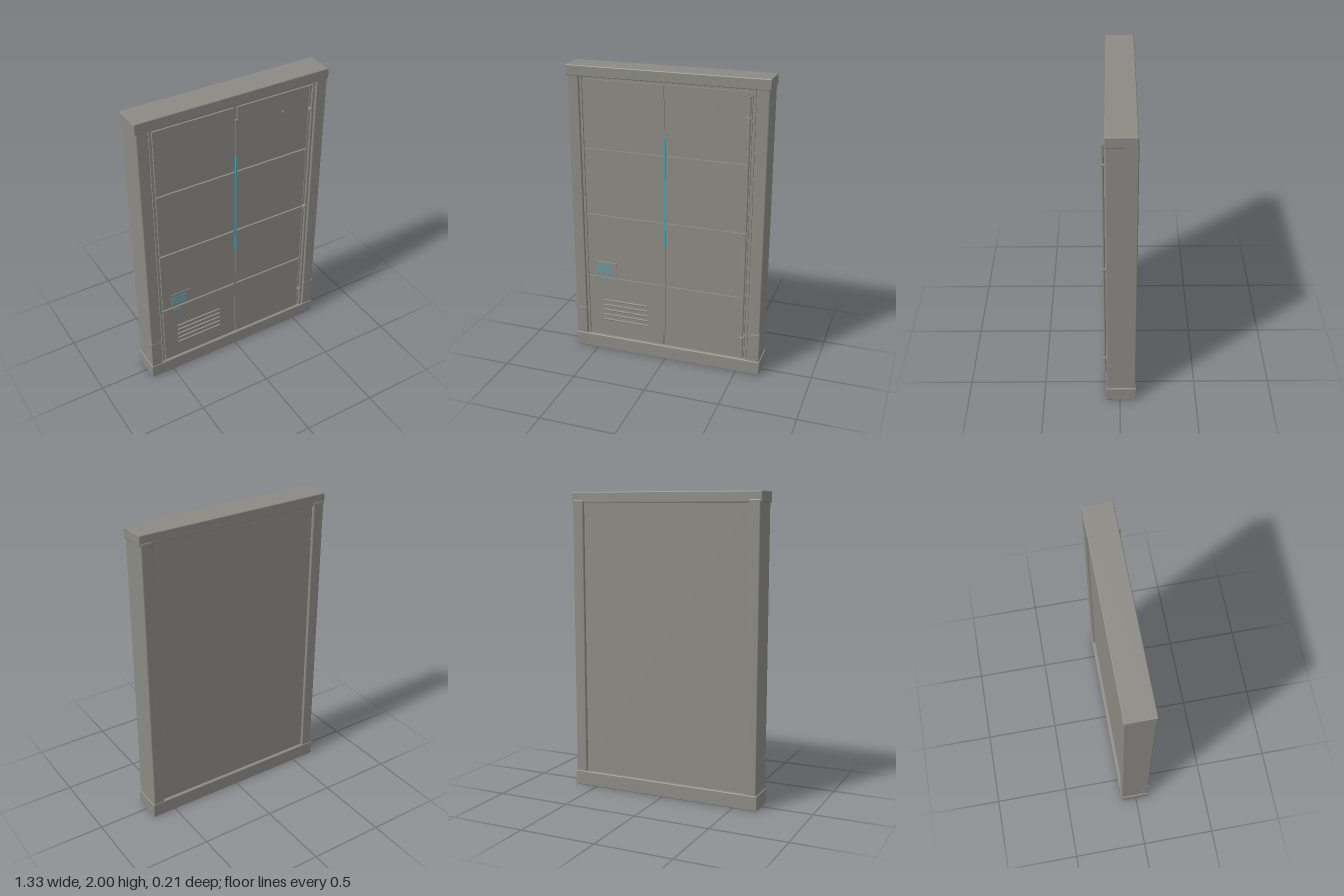
import * as THREE from 'three';
import { RoundedBoxGeometry } from 'three/addons/geometries/RoundedBoxGeometry.js';

export function createModel() {
  const model = new THREE.Group();
  model.name = 'wallPanel';

  const metal = new THREE.MeshStandardMaterial({ color: 0x8b8a84 });
  metal.name = 'grey metal';
  const glow = new THREE.MeshStandardMaterial({ color: 0x22b0c8 });
  glow.name = 'cyan light';

  // Box given by its limits on each axis; a bevel rounds the edges
  function box(name, [x0, x1], [y0, y1], [z0, z1], bevel = 0, material = metal) {
    const w = x1 - x0, h = y1 - y0, d = z1 - z0;
    const geometry = bevel ? new RoundedBoxGeometry(w, h, d, 2, bevel) : new THREE.BoxGeometry(w, h, d);
    const mesh = new THREE.Mesh(geometry, material);
    mesh.name = name;
    mesh.position.set((x0 + x1) / 2, (y0 + y1) / 2, (z0 + z1) / 2);
    model.add(mesh);
    return mesh;
  }

  function rod(name, radius, length, x, y, z, alongZ = false) {
    const mesh = new THREE.Mesh(new THREE.CylinderGeometry(radius, radius, length, 16), metal);
    mesh.name = name;
    mesh.position.set(x, y, z);
    if (alongZ) mesh.rotation.x = Math.PI / 2;
    model.add(mesh);
  }

  // Frame and core slab
  box('topBeam', [-0.663, 0.663], [1.93, 2], [-0.1, 0.086], 0.006);
  box('bottomBeam', [-0.663, 0.663], [0, 0.1], [-0.107, 0.09], 0.006);
  box('core', [-0.6, 0.6], [0.08, 1.95], [-0.085, 0.068]);

  for (const s of [-1, 1]) {
    const span = (a, b) => (s > 0 ? [a, b] : [-b, -a]);
    box('sidePost', span(0.578, 0.655), [0.08, 1.95], [-0.103, 0.084], 0.008);
    box('innerTrim', span(0.558, 0.572), [0.1, 1.93], [0.06, 0.078]);
    // Lower sleeve around each post with its two clips
    box('postSleeve', span(0.58, 0.656), [0.095, 0.3], [0.05, 0.0855], 0.004);
    for (const x of [0.582, 0.652]) {
      box('postClip', span(x - 0.005, x + 0.005), [0.293, 0.311], [0.075, 0.089]);
    }
  }

  // Eight face panels in four rows, divided by grooves
  const rows = [[0.11, 0.55], [0.566, 1.003], [1.021, 1.46], [1.476, 1.915]];
  rows.forEach(([y0, y1], i) => {
    for (const s of [-1, 1]) {
      // Outer rows are notched at the centre seam
      const low = i === 0 ? 0.19 : y0;
      const high = i === 3 ? 1.83 : y1;
      const right = 0.528;
      box('facePanel', s > 0 ? [0.012, right] : [-0.552, -0.012], [y0, y1], [0.06, 0.08]);
      box('seamEdge', s > 0 ? [0.0015, 0.012] : [-0.012, -0.0015], [low, high], [0.06, 0.08]);
    }
    if (i > 0) box('grooveBridge', [-0.009, 0.009], [rows[i - 1][1], y0], [0.06, 0.079]);
  });

  // Channel edge behind the conduit
  box('conduitBacking', [0.533, 0.552], [0.11, 1.915], [0.06, 0.078]);

  // Vertical conduit with clamps
  rod('conduit', 0.0085, 1.76, 0.54, 1.01, 0.098);
  for (const y of [0.27, 1.013, 1.757]) {
    box('conduitClamp', [0.525, 0.555], [y - 0.008, y + 0.008], [0.075, 0.107], 0.003);
  }

  // Light strip along the centre seam
  box('lightStrip', [-0.004, 0.004], [0.85, 1.58], [0.08, 0.088], 0, glow);

  // Control plate with lit slots and an indicator below
  box('controlPlate', [-0.49, -0.345], [0.572, 0.668], [0.078, 0.084], 0.002);
  for (const y of [0.64, 0.617, 0.594]) {
    box('lightSlot', [-0.483, -0.38], [y - 0.0025, y + 0.0025], [0.084, 0.087], 0, glow);
  }
  box('indicator', [-0.47, -0.42], [0.533, 0.537], [0.08, 0.084], 0, glow);

  // Vent slats on the lower left panel
  for (let i = 0; i < 5; i++) {
    const y = 0.232 + i * 0.037;
    const slat = box('ventSlat', [-0.45, -0.125], [y - 0.005, y + 0.005], [0.077, 0.089], 0.002);
    slat.rotation.x = 0.25;
  }

  // Small stud on the upper right panel
  rod('stud', 0.007, 0.014, 0.335, 1.79, 0.083, true);

  return model;
}
